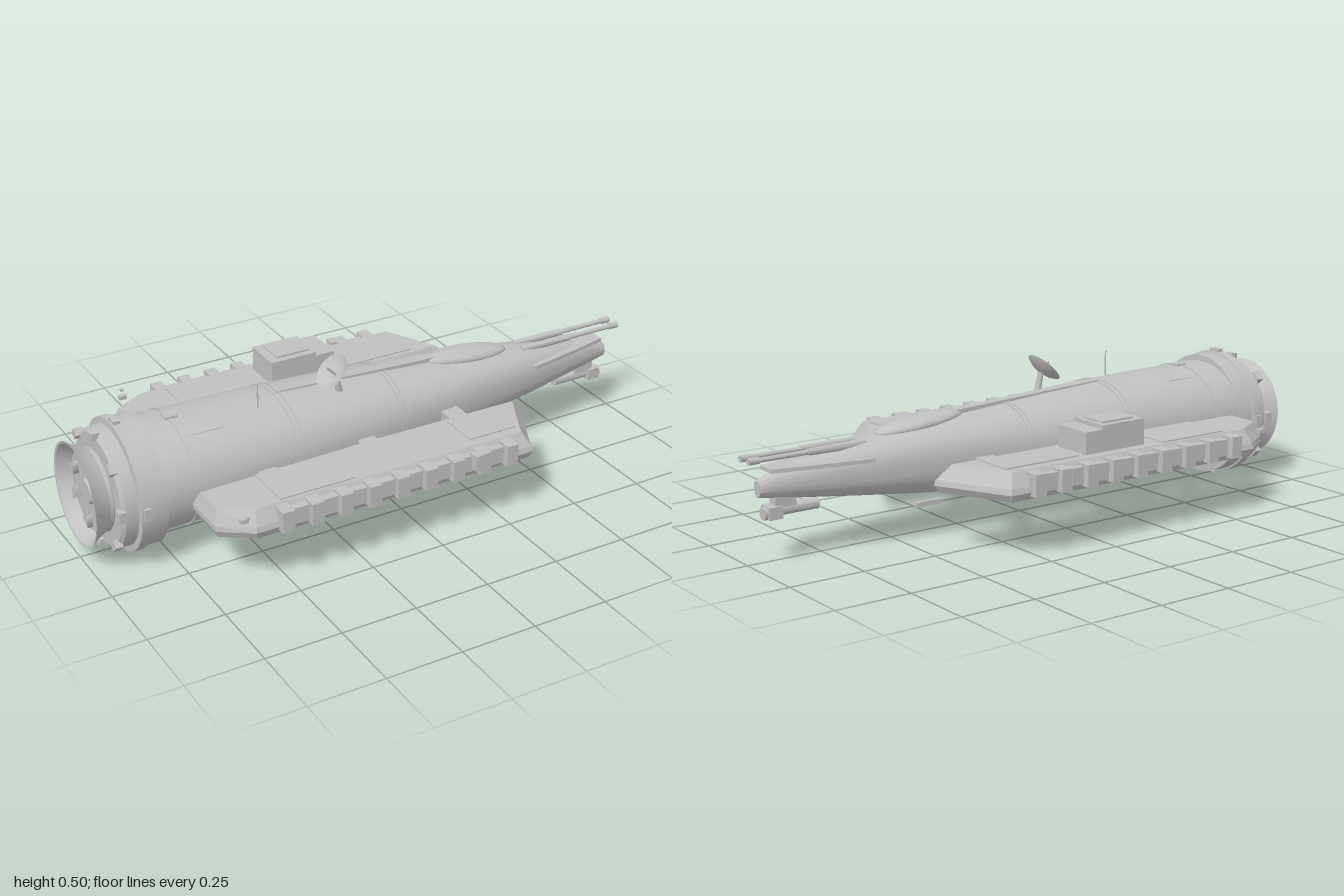
import * as THREE from 'three';
import { toCreasedNormals } from 'three/addons/utils/BufferGeometryUtils.js';

const grey = new THREE.MeshStandardMaterial({ color: 0xc0c0c0, side: THREE.DoubleSide });
grey.name = 'hull grey';
const AXIS = 0.222; // height of the engine axis

function add(parent, name, geo, x = 0, y = 0, z = 0) {
  const m = new THREE.Mesh(geo, grey);
  m.name = name;
  m.position.set(x, y, z);
  parent.add(m);
  return m;
}
// box given by its limits
function box(parent, name, x0, x1, y0, y1, z0, z1) {
  return add(parent, name, new THREE.BoxGeometry(x1 - x0, y1 - y0, Math.abs(z1 - z0)),
    (x0 + x1) / 2, (y0 + y1) / 2, (z0 + z1) / 2);
}
// cylinder lying along x
function tube(parent, name, x0, x1, r0, r1, y, z, seg = 16) {
  const g = new THREE.CylinderGeometry(r1, r0, x1 - x0, seg).rotateZ(-Math.PI / 2);
  return add(parent, name, toCreasedNormals(g, 0.6), (x0 + x1) / 2, y, z);
}
// capped skin through rings of [x, y, z] points
function loft(rings, crease) {
  const pos = [], n = rings[0].length;
  const tri = (a, b, c) => pos.push(...a, ...b, ...c);
  for (let i = 0; i < rings.length - 1; i++) {
    for (let j = 0; j < n; j++) {
      const k = (j + 1) % n;
      tri(rings[i][j], rings[i][k], rings[i + 1][j]);
      tri(rings[i][k], rings[i + 1][k], rings[i + 1][j]);
    }
  }
  const first = rings[0], last = rings[rings.length - 1];
  for (let j = 1; j < n - 1; j++) {
    tri(first[0], first[j + 1], first[j]);
    tri(last[0], last[j], last[j + 1]);
  }
  const g = new THREE.BufferGeometry();
  g.setAttribute('position', new THREE.Float32BufferAttribute(pos, 3));
  return toCreasedNormals(g, crease);
}

// hull stations: x, bottom, top, half width, squareness
const STATIONS = [
  [-0.82, 0.057, 0.408, 0.203, 2.1], [-0.55, 0.065, 0.403, 0.2, 2.1], [-0.32, 0.076, 0.397, 0.193, 2.15],
  [-0.1, 0.09, 0.386, 0.178, 2.2], [0.06, 0.1, 0.375, 0.163, 2.3], [0.25, 0.118, 0.362, 0.143, 2.4],
  [0.45, 0.139, 0.346, 0.118, 2.5], [0.62, 0.159, 0.327, 0.092, 2.5], [0.78, 0.178, 0.302, 0.06, 2.3],
  [0.9, 0.193, 0.278, 0.033, 2.1], [0.96, 0.203, 0.255, 0.02, 2],
];
function station(x) {
  let i = 0;
  while (i < STATIONS.length - 2 && x > STATIONS[i + 1][0]) i++;
  const a = STATIONS[i], b = STATIONS[i + 1], t = (x - a[0]) / (b[0] - a[0]);
  return a.map((v, k) => v + (b[k] - v) * t);
}
function section([x, bottom, top, w, e], grow = 0) {
  const h = (top - bottom) / 2 + grow, y = (top + bottom) / 2, ring = [];
  const p = (v) => Math.sign(v) * Math.abs(v) ** (2 / e);
  for (let j = 0; j < 64; j++) {
    const a = (j / 64) * Math.PI * 2;
    ring.push([x, y + h * p(Math.cos(a)), (w + grow) * p(Math.sin(a))]);
  }
  return ring;
}

function buildHull(g) {
  add(g, 'hull', loft(STATIONS.map((s) => section(s)), 0.6));
  // raised seams around the hull
  for (const x of [-0.685, -0.33, -0.31, 0.055, 0.072]) {
    add(g, 'hullSeam', loft([section(station(x - 0.004), 0.003), section(station(x + 0.004), 0.003)], 0.6));
  }
  // tapering shelf across the nose
  const shelf = (y) => [[0.61, y, -0.1], [0.61, y, 0.1], [0.8, y, 0.064], [0.93, y, 0.034],
    [0.93, y, -0.034], [0.8, y, -0.064]];
  add(g, 'noseShelf', loft([shelf(0.278), shelf(0.29)], 0.1));
  // spine and canopy blister
  const spine = box(g, 'dorsalSpine', -0.32, 0.37, 0.368, 0.388, -0.016, 0.016);
  spine.rotation.z = -0.045;
  spine.position.y = 0.376;
  const canopy = add(g, 'canopy', new THREE.SphereGeometry(1, 32, 16), 0.39, 0.35, 0);
  canopy.scale.set(0.16, 0.026, 0.055);
  canopy.rotation.z = -0.09;
  // small hull fittings
  for (const s of [-1, 1]) {
    box(g, 'hullPanel', -0.68, -0.55, 0.365, 0.383, s * 0.075, s * 0.105);
    box(g, 'hullFitting', 0.05, 0.08, 0.34, 0.365, s * 0.055, s * 0.075);
  }
  box(g, 'topFitting', -0.7, -0.66, 0.395, 0.412, -0.018, 0.018);
  box(g, 'keelBar', -0.41, -0.125, 0.06, 0.074, -0.008, 0.008);
  box(g, 'forwardKeelBar', 0.31, 0.405, 0.079, 0.095, -0.008, 0.008);
}

function buildEngine(g) {
  const collar = [[-0.925, 0], [-0.925, 0.178], [-0.915, 0.19], [-0.875, 0.192], [-0.873, 0.213],
    [-0.842, 0.213], [-0.84, 0.206], [-0.785, 0.206], [-0.783, 0.18]];
  const lathe = (pts) => toCreasedNormals(
    new THREE.LatheGeometry(pts.map(([x, r]) => new THREE.Vector2(r, x)), 64).rotateZ(-Math.PI / 2), 0.5);
  add(g, 'engineCollar', lathe(collar), 0, AXIS, 0);
  const bell = [[-0.915, 0.125], [-0.95, 0.137], [-0.98, 0.153], [-1, 0.168], [-0.998, 0.16], [-0.94, 0.13]];
  add(g, 'engineBell', lathe(bell), 0, AXIS, 0);
  tube(g, 'enginePlate', -0.955, -0.93, 0.134, 0.134, AXIS, 0, 48);
  tube(g, 'engineCore', -0.965, -0.95, 0.035, 0.045, AXIS, 0, 32);
  // wedge vanes in the bell
  for (let i = 0; i < 6; i++) {
    const vane = new THREE.Group();
    vane.name = 'engineVane';
    vane.position.set(-0.963, AXIS, 0);
    vane.rotation.x = (i * Math.PI) / 3;
    const wedge = new THREE.CylinderGeometry(0.025, 0.025, 0.02, 3).rotateZ(Math.PI / 2);
    add(vane, 'vaneWedge', wedge, 0, 0.098, 0);
    g.add(vane);
  }
  // clamps around the collar
  for (let i = 0; i < 8; i++) {
    const clamp = new THREE.Group();
    clamp.name = 'collarClamp';
    clamp.position.set(0, AXIS, 0);
    clamp.rotation.x = (i * Math.PI) / 4;
    box(clamp, 'rearClamp', -0.94, -0.915, 0.172, 0.198, -0.017, 0.017);
    if (i % 2 === 0) box(clamp, 'ringClamp', -0.868, -0.846, 0.205, 0.222, -0.02, 0.02);
    g.add(clamp);
  }
}

function buildPod(g, s) {
  const pod = new THREE.Group();
  pod.name = s > 0 ? 'rightPod' : 'leftPod';
  g.add(pod);
  const layer = (y, pts) => {
    const ring = pts.map(([x, z]) => [x, y, s * z]);
    return s > 0 ? ring : ring.reverse();
  };
  // outline order: outer rear, outer front, inner nose, inner middle, inner rear, rear corner
  add(pod, 'podBody', loft([
    layer(0.185, [[-0.61, 0.44], [0.35, 0.44], [0.46, 0.218], [-0.1, 0.212], [-0.705, 0.23], [-0.705, 0.375]]),
    layer(0.208, [[-0.615, 0.45], [0.36, 0.45], [0.477, 0.214], [-0.1, 0.208], [-0.715, 0.227], [-0.715, 0.38]]),
    layer(0.225, [[-0.613, 0.445], [0.357, 0.445], [0.472, 0.214], [-0.1, 0.208], [-0.715, 0.227], [-0.715, 0.378]]),
    layer(0.271, [[-0.6, 0.417], [0.335, 0.417], [0.425, 0.235], [-0.1, 0.23], [-0.7, 0.25], [-0.7, 0.36]]),
  ], 0.1));
  // outer rail with ribs
  box(pod, 'podRail', -0.53, 0.29, 0.203, 0.257, s * 0.41, s * 0.452);
  for (let i = 0; i < 9; i++) {
    const x = -0.52 + i * 0.0985;
    box(pod, 'podRib', x - 0.02, x + 0.02, 0.195, 0.266, s * 0.42, s * 0.474);
  }
  box(pod, 'railFitting', 0.13, 0.155, 0.215, 0.265, s * 0.44, s * 0.478);
  // deck plates
  box(pod, 'rearDeckPlate', -0.515, -0.26, 0.268, 0.275, s * 0.245, s * 0.408);
  box(pod, 'frontDeckPlate', s > 0 ? 0.165 : 0.06, 0.335, 0.268, 0.275, s * 0.25, s * 0.385);
  // small rear lamp
  box(pod, 'lampBase', -0.665, -0.64, 0.255, 0.268, s * 0.432, s * 0.452);
  box(pod, 'lamp', -0.652, -0.642, 0.274, 0.281, s * 0.454, s * 0.464);
  // struts to the hull
  box(pod, 'frontStrut', 0.21, 0.272, 0.213, 0.25, s * 0.12, s * 0.226);
  for (const x of [-0.45, -0.09]) box(pod, 'strut', x - 0.03, x + 0.03, 0.213, 0.25, s * 0.16, s * 0.24);
}

function buildEquipment(g) {
  // cargo module on the left pod
  box(g, 'cargoModule', -0.2, -0.035, 0.27, 0.355, -0.387, -0.247);
  box(g, 'cargoModuleFront', -0.035, 0.033, 0.27, 0.342, -0.387, -0.247);
  box(g, 'cargoHatch', -0.17, -0.05, 0.355, 0.361, -0.365, -0.27);
  // dish with mast and feed
  const dish = new THREE.Group();
  dish.name = 'dish';
  dish.position.set(-0.135, 0.437, 0.065);
  dish.rotation.z = 0.8;
  const bowl = [[0, 0], [0.025, 0.003], [0.045, 0.01], [0.062, 0.02]].map(([r, y]) => new THREE.Vector2(r, y));
  add(dish, 'dishBowl', new THREE.LatheGeometry(bowl, 40));
  add(dish, 'dishFeed', new THREE.CylinderGeometry(0.004, 0.004, 0.045, 8), 0, 0.022, 0);
  g.add(dish);
  const mast = add(g, 'dishMast', new THREE.CylinderGeometry(0.01, 0.012, 0.07, 12), -0.128, 0.4, 0.065);
  mast.rotation.z = 0.2;
  add(g, 'antenna', new THREE.CylinderGeometry(0.0025, 0.0025, 0.1, 6), -0.41, 0.427, 0.065);
  // twin nose guns
  for (const s of [-1, 1]) {
    tube(g, 'gunBarrel', 0.6, 0.985, 0.008, 0.008, 0.322, s * 0.024, 12);
    tube(g, 'gunMuzzle', 0.965, 1, 0.011, 0.011, 0.322, s * 0.024, 12);
    tube(g, 'gunSleeve', 0.6, 0.8, 0.013, 0.011, 0.322, s * 0.024, 12);
  }
  // chin turret
  box(g, 'chinMount', 0.84, 0.91, 0.165, 0.2, -0.018, 0.018);
  tube(g, 'chinGun', 0.76, 0.92, 0.018, 0.018, 0.155, 0, 20);
  box(g, 'chinHousing', 0.89, 0.935, 0.133, 0.172, -0.027, 0.027);
  tube(g, 'chinMuzzle', 0.93, 0.945, 0.02, 0.02, 0.15, 0, 20);
}

export function createModel() {
  const g = new THREE.Group();
  g.name = 'spaceship';
  buildHull(g);
  buildEngine(g);
  for (const s of [1, -1]) buildPod(g, s);
  buildEquipment(g);
  return g;
}
